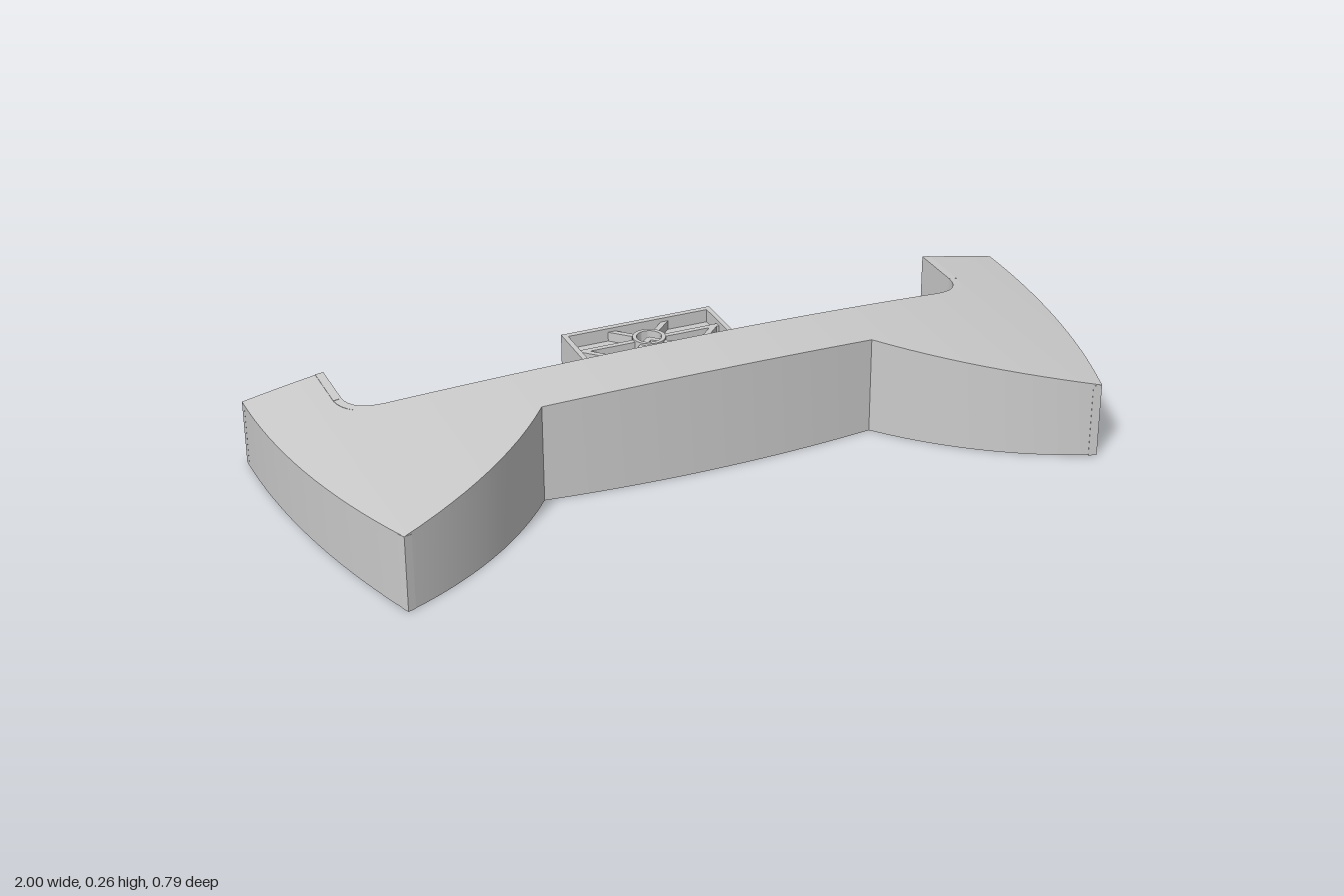
import * as THREE from 'three';
import { toCreasedNormals } from 'three/addons/utils/BufferGeometryUtils.js';

const BACK = -0.395, T = 0.02, INNER = 0.19, END = 0.8;
const topY = x => 0.263 - 0.101 * x * x;
const material = new THREE.MeshStandardMaterial({ color: 0xcccccc, side: THREE.DoubleSide });

// Samples n + 1 points of a plan curve [x, z]
const sample = (n, f) => Array.from({ length: n + 1 }, (_, i) => f(i / n));
const bezier = (a, b, c) => t => [0, 1].map(k =>
  (1 - t) ** 2 * a[k] + 2 * t * (1 - t) * b[k] + t * t * c[k]);

// Plan curves of the +x half
const frontArc = sample(10, t => [0.42 * t, 0.085 - 0.025 * t * t]);
const wingFront = sample(12, bezier([0.42, 0.06], [0.595, 0.285], [0.86, 0.39]));
const wingSide = sample(16, t => [1 - 0.14 * t * t, BACK + 0.785 * t]);
const pocketEdge = [
  ...sample(16, t => [0.72 * t, -0.095 - 0.135 * (0.72 * t) ** 2]),
  ...sample(8, bezier([0.72, -0.165], [0.795, -0.182], [END, -0.25])).slice(1),
];
const frontEdge = [...frontArc, ...wingFront.slice(1), ...wingSide.slice(0, -1).reverse()];

// Linear reading of z at x along a curve that rises in x
function zAt(path, x) {
  x = Math.abs(x);
  for (let i = 1; i < path.length; i++) {
    const [x0, z0] = path[i - 1], [x1, z1] = path[i];
    if (x <= x1 + 1e-9) return z0 + (z1 - z0) * (x - x0) / (x1 - x0);
  }
  return path[path.length - 1][1];
}

// Skins a row of closed rings and caps both ends
function loft(rings) {
  const n = rings[0].length, index = [];
  for (let i = 0; i < rings.length - 1; i++)
    for (let j = 0; j < n; j++) {
      const a = i * n + j, b = i * n + (j + 1) % n;
      index.push(a, b, a + n, b, b + n, a + n);
    }
  const last = (rings.length - 1) * n;
  for (let j = 1; j < n - 1; j++) index.push(0, j + 1, j, last, last + j, last + j + 1);
  const g = new THREE.BufferGeometry();
  g.setAttribute('position', new THREE.Float32BufferAttribute(rings.flat(2), 3));
  g.setIndex(index);
  return toCreasedNormals(g, 0.5);
}

// Upright wall along a plan path; its thickness goes to the given side
function wall(path, side, low = () => 0, draft = 0) {
  return loft(path.map(([x, z], i) => {
    const p = path[Math.max(i - 1, 0)], q = path[Math.min(i + 1, path.length - 1)];
    const dx = q[0] - p[0], dz = q[1] - p[1], k = side * T / Math.hypot(dx, dz);
    const ox = x - dz * k, oz = z + dx * k, y = topY(x), b = low(x);
    const slide = z > BACK + 0.01 ? draft * (y - b) : 0;
    return [[x, b, z - slide], [x, y, z], [ox, y - 0.002, oz], [ox, b, oz - slide]];
  }));
}

export function createModel() {
  const model = new THREE.Group();
  const add = (name, geometry, parent = model) => {
    const mesh = new THREE.Mesh(geometry, material);
    mesh.name = name;
    parent.add(mesh);
    return mesh;
  };
  const box = (name, x0, x1, y0, y1, z0, z1, parent) => {
    const m = add(name, new THREE.BoxGeometry(Math.abs(x1 - x0), y1 - y0, z1 - z0), parent);
    m.position.set((x0 + x1) / 2, (y0 + y1) / 2, (z0 + z1) / 2);
  };

  // Curved top skin: the bar in front of the pocket and the two wing ends
  const slice = (x, zb, zf) => {
    const y = topY(x);
    return [[x, y, zb], [x, y, zf], [x, y - T, zf], [x, y - T, zb]];
  };
  const half = [...frontEdge, ...pocketEdge].map(p => p[0]).filter(x => x <= END);
  const xs = [...new Set(half.flatMap(x => [x, -x]).map(x => +x.toFixed(4)))].sort((a, b) => a - b);
  add('topSkin', loft(xs.map(x => slice(x, zAt(pocketEdge, x), zAt(frontEdge, x)))));
  const wingXs = [END, ...frontEdge.map(p => p[0]).filter(x => x > END + 0.001)];

  // Outer walls
  const mirror = path => path.map(([x, z]) => [-x, z]);
  add('frontWall', wall([...mirror(frontArc).reverse(), ...frontArc.slice(1)], -1));
  for (const s of [1, -1]) {
    const flip = path => (s > 0 ? path : mirror(path));
    add('wingTop', loft(wingXs.map(x => slice(s * x, BACK, zAt(frontEdge, x)))));
    add('wingFrontWall', wall(flip(wingFront), -s));
    add('wingSideWall', wall(flip(wingSide), s));
    add('wingBackWall', wall(flip(sample(6, t => [END + 0.2 * t, BACK])), s));
    // Pocket wall, leaning back towards its floor
    const outer = [[INNER, zAt(pocketEdge, INNER)], ...pocketEdge.filter(p => p[0] > INNER)];
    add('pocketWall', wall(flip(outer), s, () => 0, 0.2));
    add('pocketEndWall', wall(flip([[END, -0.25], [END, BACK]]), s));
  }
  add('pocketCentreWall', wall(sample(10, t => {
    const x = INNER * (2 * t - 1);
    return [x, zAt(pocketEdge, x)];
  }), 1, () => 0.1, 0.2));

  // Ribbed plate with round tubes, ribs above and below
  function panel(name, outline, holes, y0, y1, ribs) {
    const group = new THREE.Group();
    group.name = name;
    model.add(group);
    const ring = (shape, x, z, r) => {
      shape.holes.push(new THREE.Path().absarc(x, z, r, 0, Math.PI * 2, true));
      return shape;
    };
    const slab = (label, shape, top, depth) => {
      const g = new THREE.ExtrudeGeometry(shape, { depth, bevelEnabled: false, curveSegments: 16 });
      add(label, toCreasedNormals(g.rotateX(Math.PI / 2).translate(0, top, 0), 0.5), group);
    };
    const plate = new THREE.Shape(outline.map(p => new THREE.Vector2(...p)));
    for (const [x, z] of holes) ring(plate, x, z, 0.031);
    const mid = (y0 + y1) / 2;
    slab('plate', plate, mid + 0.006, 0.012);
    for (const [x, z] of holes)
      slab('tube', ring(new THREE.Shape().absarc(x, z, 0.041, 0, Math.PI * 2), x, z, 0.031), y1, y1 - y0);
    for (const [xa, za, xb, zb] of ribs) {
      const rib = add('rib', new THREE.BoxGeometry(Math.hypot(xb - xa, zb - za), y1 - y0 - 0.01, 0.014), group);
      rib.position.set((xa + xb) / 2, mid, (za + zb) / 2);
      rib.rotation.y = -Math.atan2(zb - za, xb - xa);
    }
    return group;
  }
  // Four diagonal ribs around a tube, each with its own reach
  const cross = (x, z, front, back, r = 0.03) => [[1, 1], [-1, 1], [1, -1], [-1, -1]].map(([a, b]) => {
    const d = b > 0 ? front : back;
    return [x + a * r, z + b * r, x + a * d, z + b * d];
  });

  // Low side panels
  for (const s of [1, -1]) {
    const holes = [0.355, 0.53, 0.71].map(x => [s * x, -0.31]);
    const edge = pocketEdge.filter(p => p[0] > INNER).map(([x, z]) => [s * x, z - 0.03]);
    const outline = [[s * INNER, BACK], [s * INNER, -0.13], ...edge, [s * END, BACK]];
    const ribs = holes.flatMap(([x, z], i) => cross(x, z, [0.125, 0.115, 0.07][i], 0.078));
    ribs.push([s * 0.2, -0.31, s * 0.325, -0.31], [s * 0.385, -0.31, s * 0.5, -0.31],
      [s * 0.56, -0.31, s * 0.68, -0.31], [s * 0.74, -0.31, s * 0.795, -0.31],
      [s * 0.2, -0.24, s * 0.28, -0.16]);
    const group = panel('sidePanel', outline, holes, 0, 0.075, ribs);
    box('backRim', s * INNER, s * END, 0, 0.08, BACK, BACK + 0.015, group);
    box('stepWall', s * (INNER - 0.005), s * (INNER + 0.008), 0, 0.175, BACK, -0.125, group);
  }

  // Raised centre panel, open underneath
  const centreHoles = [[0, -0.31], [0.0875, -0.2225], [-0.0875, -0.2225]];
  const centreRibs = [...cross(0, -0.31, 0.06, 0.075), ...centreHoles.slice(1).flatMap(([x, z]) => cross(x, z, 0.09, 0.09)),
    [0.03, -0.31, 0.19, -0.31], [-0.19, -0.31, -0.03, -0.31],
    [0, -0.28, 0, -0.13], [-0.06, -0.2225, 0.06, -0.2225]];
  const centre = panel('centrePanel',
    [[-INNER, BACK], [INNER, BACK], [INNER, -0.12], [-INNER, -0.12]], centreHoles, 0.1, 0.17, centreRibs);
  box('backRim', -INNER, INNER, 0.1, 0.175, BACK, BACK + 0.015, centre);
  box('frontRim', -INNER, INNER, 0.1, 0.175, -0.132, -0.118, centre);
  return model;
}
